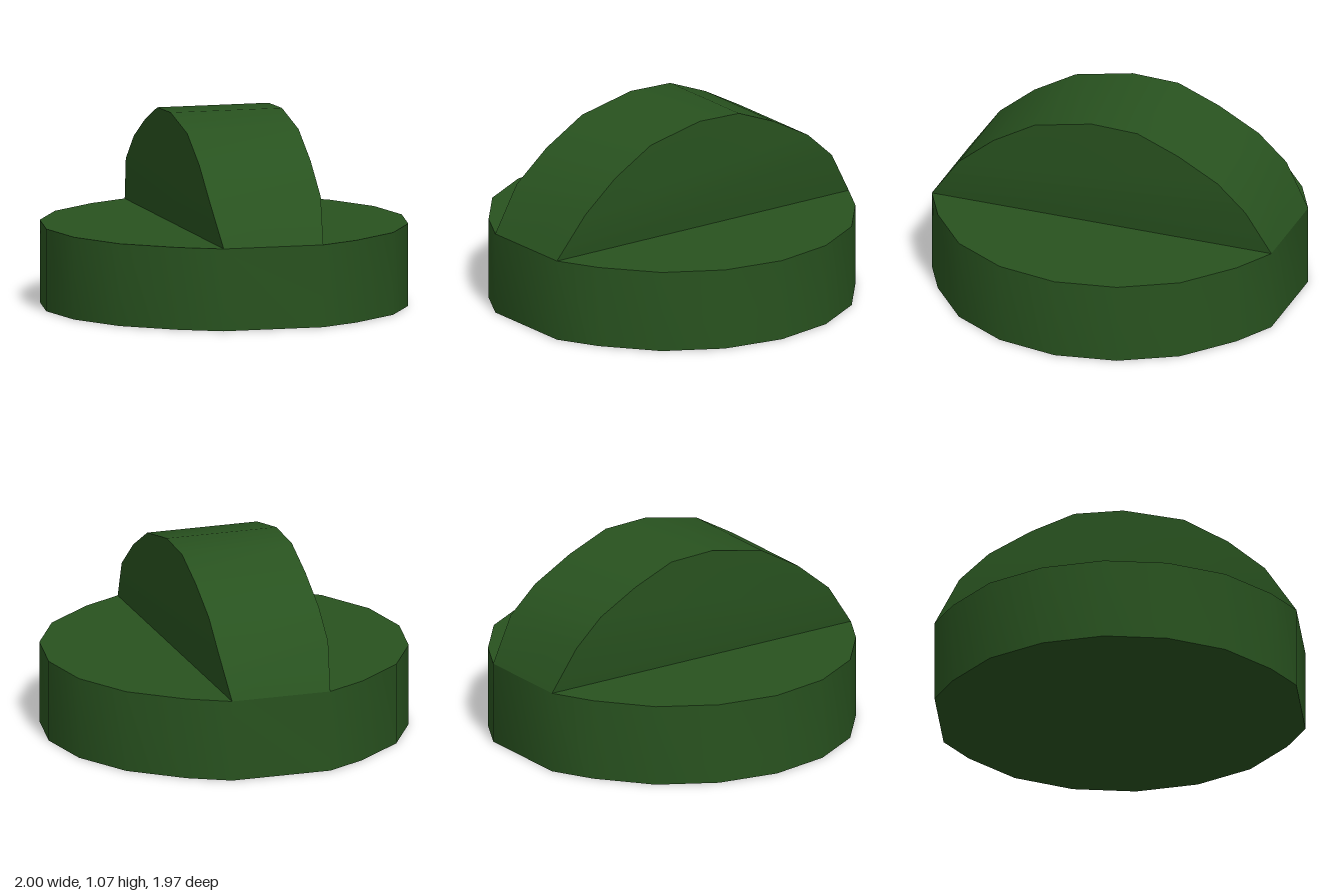
import * as THREE from 'three';
import { toCreasedNormals } from 'three/addons/utils/BufferGeometryUtils.js';

const CREASE = THREE.MathUtils.degToRad(40);
const BASE_HEIGHT = 0.45;

// Faceted disc, cut flat at the front and back
function makeBase() {
  const quarter = [[1, 0], [0.94, 0.34], [0.77, 0.64], [0.5, 0.865], [0.28, 0.983]];
  const half = [...quarter, ...quarter.slice(1).reverse().map(([x, z]) => [-x, z])];
  const outline = [...half, [-1, 0], ...half.slice(1).reverse().map(([x, z]) => [x, -z])];
  const shape = new THREE.Shape(outline.map(([x, z]) => new THREE.Vector2(x, z)));
  const geometry = new THREE.ExtrudeGeometry(shape, { depth: BASE_HEIGHT, bevelEnabled: false });
  geometry.rotateX(-Math.PI / 2);
  return toCreasedNormals(geometry, CREASE);
}

// Arched grip running front to back, narrowing where it meets the base
function makeGrip() {
  const profile = [ // z, y from front to back
    [0.983, BASE_HEIGHT], [0.815, 0.69], [0.615, 0.857], [0.375, 0.997], [0.045, 1.066],
    [-0.22, 1.057], [-0.456, 0.962], [-0.685, 0.837], [-0.845, 0.69], [-0.983, BASE_HEIGHT],
  ];
  const last = profile.length - 1;
  const point = (i, side) => [side * (i === 0 || i === last ? 0.28 : 0.313), profile[i][1], profile[i][0]];
  const positions = [];
  const quad = (a, b, c, d) => positions.push(...a, ...b, ...c, ...a, ...c, ...d);

  // Curved top band
  for (let i = 0; i < last; i++) {
    quad(point(i, -1), point(i, 1), point(i + 1, 1), point(i + 1, -1));
  }
  // Side walls: sloping foot, then the flat upper face
  for (const side of [1, -1]) {
    const foot = [0, last, last - 1, 1].map((i) => point(i, side));
    quad(...(side > 0 ? foot : foot.reverse()));
    for (let i = 2; i < last - 1; i++) {
      const [b, c] = side > 0 ? [i + 1, i] : [i, i + 1];
      positions.push(...point(1, side), ...point(b, side), ...point(c, side));
    }
  }
  const geometry = new THREE.BufferGeometry();
  geometry.setAttribute('position', new THREE.Float32BufferAttribute(positions, 3));
  return toCreasedNormals(geometry, CREASE);
}

export function createModel() {
  const material = new THREE.MeshStandardMaterial({ color: 0x28521f });
  const model = new THREE.Group();
  model.name = 'knob';
  const parts = { base: makeBase(), grip: makeGrip() };
  for (const [name, geometry] of Object.entries(parts)) {
    const mesh = new THREE.Mesh(geometry, material);
    mesh.name = name;
    model.add(mesh);
  }
  return model;
}
